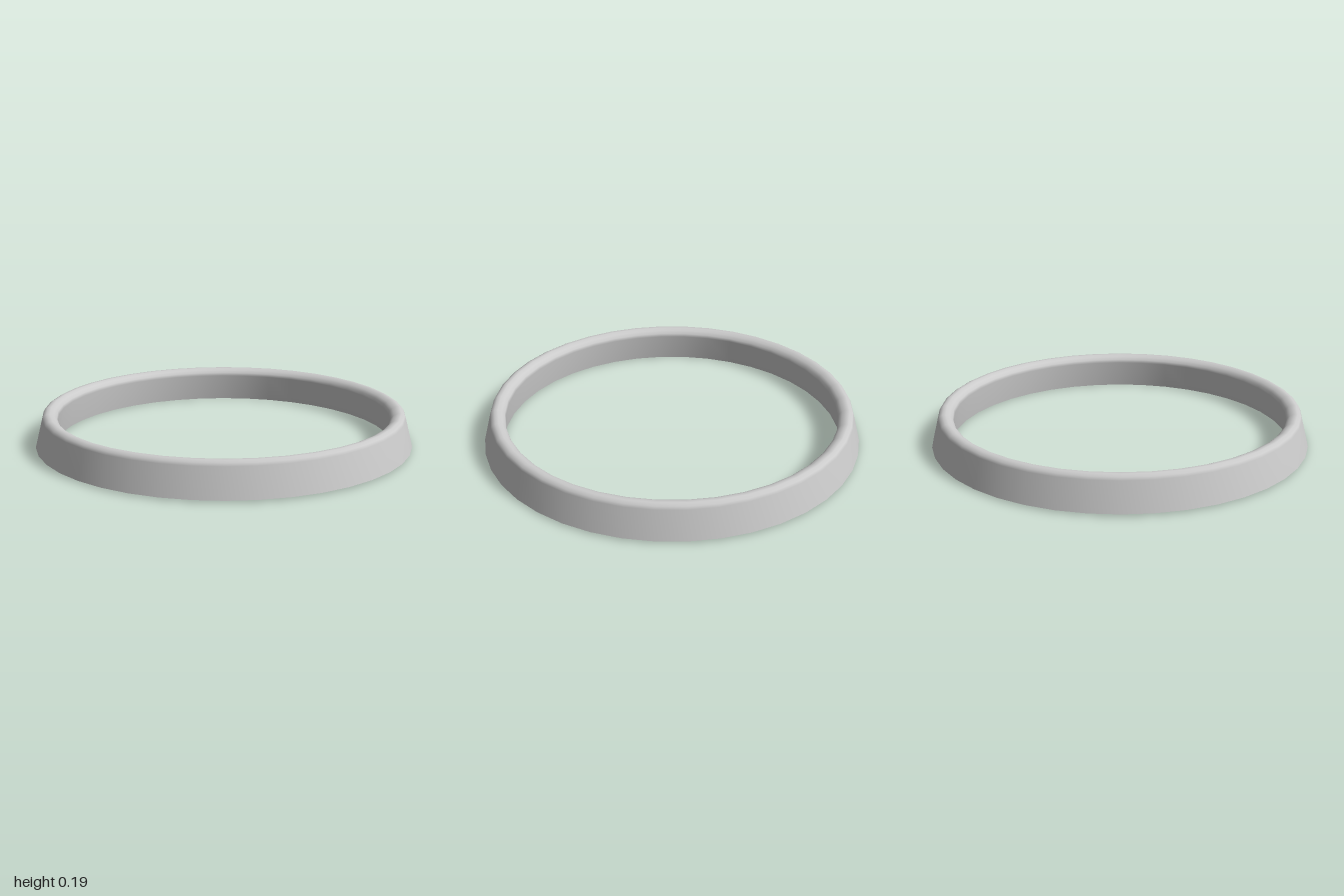
import * as THREE from 'three';

export function createModel() {
  const group = new THREE.Group();
  const material = new THREE.MeshStandardMaterial({ color: 0xcccccc, side: THREE.DoubleSide });

  // Thin shell, open underneath: sloping outer wall, rounded rim, inner wall
  const profile = [
    [1, 0.008], [0.962, 0.16], [0.955, 0.175], [0.938, 0.185],
    [0.92, 0.185], [0.9, 0.176], [0.885, 0.162], [0.88, 0.145], [0.9, 0],
  ].map(([r, y]) => new THREE.Vector2(r, y));

  const ring = new THREE.Mesh(new THREE.LatheGeometry(profile, 40), material);
  ring.name = 'ring';
  group.add(ring);
  return group;
}
